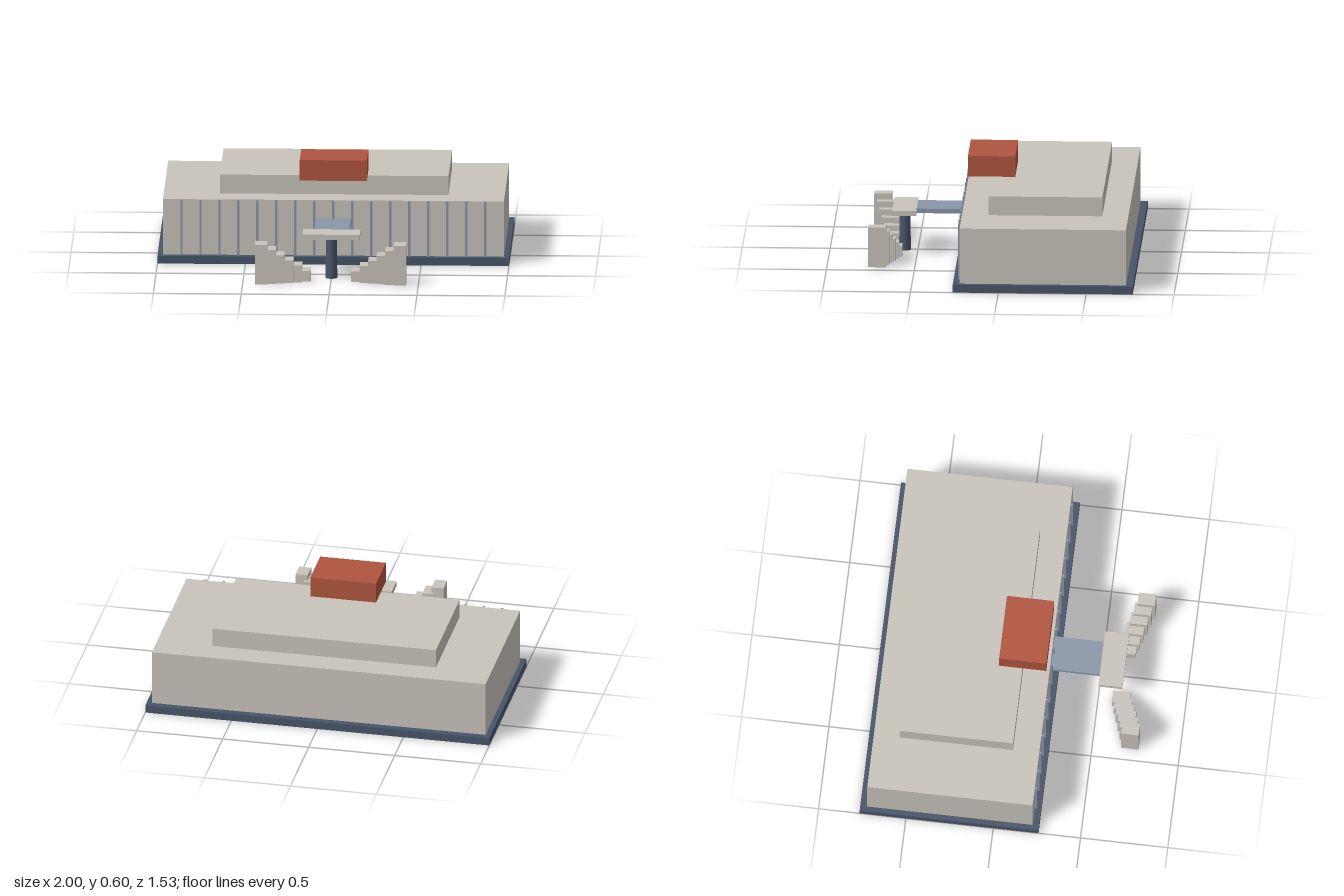
import * as THREE from 'three';

const mat = (name, color) => {
  const m = new THREE.MeshStandardMaterial({ color });
  m.name = name;
  return m;
};

export function createModel() {
  const stone = mat('warm stone', 0xc8c4bb);
  const slate = mat('dark slate', 0x475569);
  const glass = mat('blue grey', 0x8a96a9);
  const brick = mat('brick red', 0xb0553f);

  const group = new THREE.Group();
  group.name = 'building';

  // Box from its minimum and maximum extents on each axis
  const block = (name, material, [x0, x1], [y0, y1], [z0, z1], parent = group) => {
    const mesh = new THREE.Mesh(new THREE.BoxGeometry(x1 - x0, y1 - y0, z1 - z0), material);
    mesh.position.set((x0 + x1) / 2, (y0 + y1) / 2, (z0 + z1) / 2);
    mesh.name = name;
    parent.add(mesh);
    return mesh;
  };

  // Stacked volumes
  block('plinth', slate, [-1, 1], [0, 0.045], [-0.765, 0.26]);
  block('mainHall', stone, [-0.97, 0.97], [0.045, 0.368], [-0.725, 0.222]);
  block('upperFloor', stone, [-0.65, 0.65], [0.368, 0.478], [-0.577, 0.072]);
  block('roofBox', brick, [-0.192, 0.19], [0.478, 0.598], [-0.062, 0.208]);

  // Narrow vertical fins across the front wall
  const fins = new THREE.Group();
  fins.name = 'facadeFins';
  group.add(fins);
  for (let i = -8; i <= 8; i++) {
    const x = i * 0.108;
    block('fin', glass, [x - 0.0065, x + 0.0065], [0.045, 0.367], [0.215, 0.236], fins);
  }

  // Entrance bridge, canopy and its column
  block('bridge', glass, [-0.1, 0.1], [0.237, 0.263], [0.222, 0.51]);
  block('canopy', stone, [-0.163, 0.163], [0.235, 0.265], [0.503, 0.64]);
  const column = new THREE.Mesh(new THREE.CylinderGeometry(0.03, 0.034, 0.236, 24), slate);
  column.position.set(0, 0.118, 0.574);
  column.name = 'column';
  group.add(column);

  // Two flights of blocks, rising outward and forward
  for (const side of [-1, 1]) {
    const flight = new THREE.Group();
    flight.name = side > 0 ? 'leftSteps' : 'rightSteps';
    group.add(flight);
    for (let i = 0; i < 6; i++) {
      const x = side * (0.15 + i * 0.049);
      const z = 0.633 + i * 0.0164;
      block('step', stone, [x - 0.035, x + 0.035], [0, 0.063 + i * 0.034], [z - 0.05, z + 0.05], flight);
    }
  }
  return group;
}
